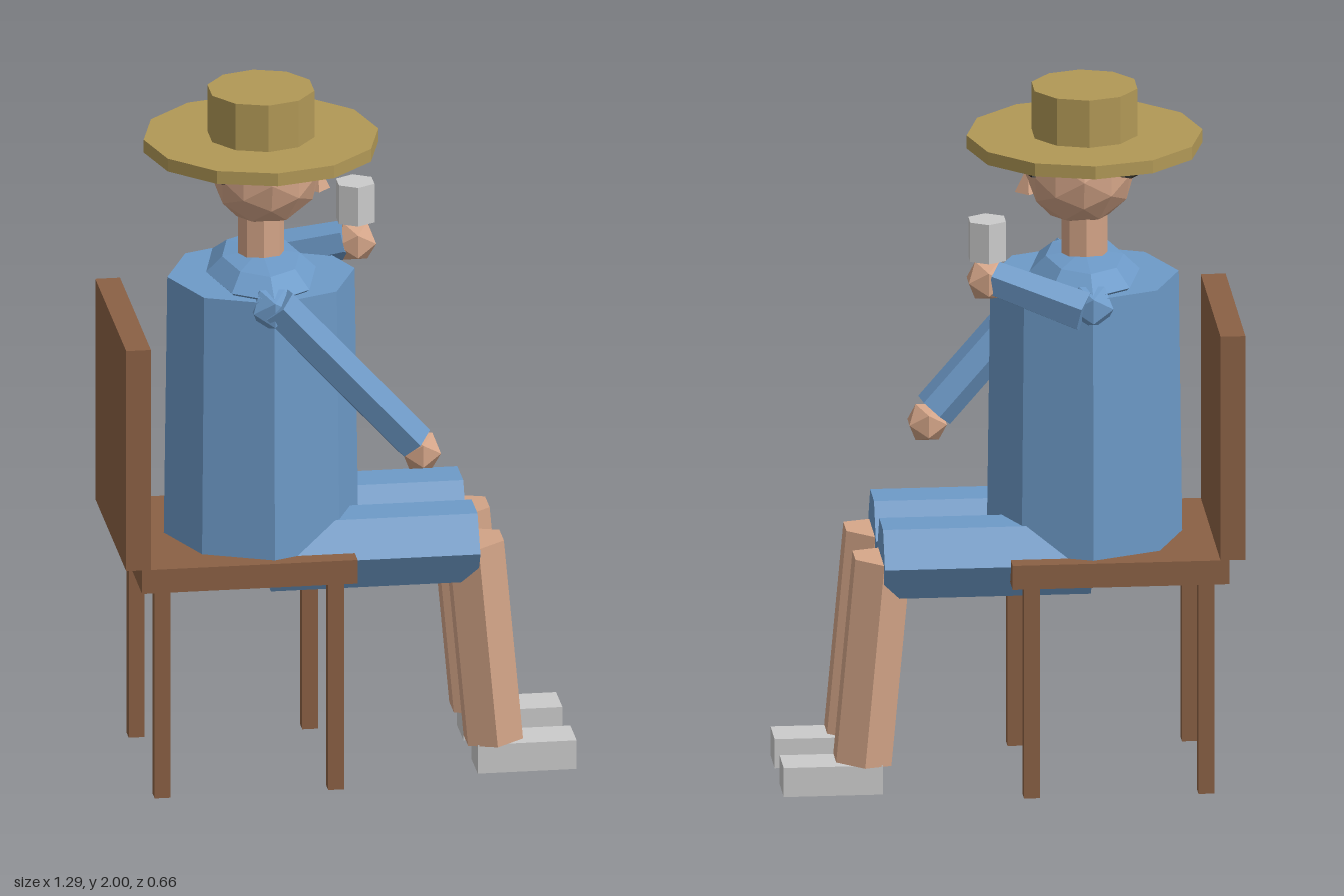
import * as THREE from 'three';

const paint = (name, color) => {
  const m = new THREE.MeshStandardMaterial({ color, flatShading: true });
  m.name = name;
  return m;
};

export function createModel() {
  const group = new THREE.Group();
  group.name = 'seatedFigure';

  const blue = paint('blue cloth', 0x6d9ac8);
  const skin = paint('skin', 0xd4a588);
  const wood = paint('brown wood', 0x8a6044);
  const straw = paint('straw', 0xb19856);
  const grey = paint('light grey', 0xcbcbcb);
  const hairBlack = paint('dark hair', 0x25231c);
  const eyeBlack = paint('eye black', 0x151515);

  const add = (name, geo, mat, x, y, z) => {
    const mesh = new THREE.Mesh(geo, mat);
    mesh.name = name;
    mesh.position.set(x, y, z);
    group.add(mesh);
    return mesh;
  };
  const box = (name, mat, w, h, d, x, y, z) =>
    add(name, new THREE.BoxGeometry(w, h, d), mat, x, y, z);
  const prism = (name, mat, rTop, rBottom, h, sides, x, y, z) =>
    add(name, new THREE.CylinderGeometry(rTop, rBottom, h, sides), mat, x, y, z);
  // Prism running between two points
  const limb = (name, mat, from, to, rFrom, rTo, sides = 6) => {
    const a = new THREE.Vector3(...from), b = new THREE.Vector3(...to);
    const dir = b.clone().sub(a);
    const mid = a.clone().add(b).multiplyScalar(0.5);
    const mesh = prism(name, mat, rTo, rFrom, dir.length(), sides, mid.x, mid.y, mid.z);
    mesh.quaternion.setFromUnitVectors(new THREE.Vector3(0, 1, 0), dir.normalize());
  };

  // Chair
  box('chairBack', wood, 0.07, 0.655, 0.608, -0.61, 1.0175, 0);
  box('chairSeat', wood, 0.61, 0.07, 0.608, -0.295, 0.655, 0);
  for (const x of [-0.538, -0.047])
    for (const z of [-0.255, 0.255])
      box('chairLeg', wood, 0.045, 0.62, 0.045, x, 0.31, z);

  // Torso, shoulders and neck
  prism('torso', blue, 0.265, 0.275, 0.76, 8, -0.22, 1.07, 0);
  add('shoulders', new THREE.SphereGeometry(1, 8, 4), blue, -0.22, 1.46, 0)
    .scale.set(0.155, 0.062, 0.27);
  prism('neck', skin, 0.065, 0.065, 0.16, 8, -0.22, 1.57, 0);

  // Head and face
  add('head', new THREE.IcosahedronGeometry(0.157, 1), skin, -0.207, 1.755, 0)
    .scale.set(1, 1, 0.9);
  prism('nose', skin, 0, 0.036, 0.075, 4, -0.06, 1.73, 0);
  for (const z of [-0.06, 0.06])
    prism('eye', eyeBlack, 0, 0.021, 0.036, 5, -0.077, 1.775, z);

  // Hair: tilted dome sitting under the hat
  hairBlack.side = THREE.DoubleSide;
  const hair = add('hair', new THREE.SphereGeometry(1, 8, 4, 0, Math.PI * 2, 0, Math.PI / 2),
    hairBlack, -0.23, 1.785, 0);
  hair.scale.set(0.165, 0.11, 0.145);
  hair.rotation.z = 0.27;

  // Hat
  prism('hatBrim', straw, 0.332, 0.332, 0.038, 12, -0.22, 1.843, 0);
  prism('hatCrown', straw, 0.152, 0.152, 0.16, 10, -0.22, 1.92, 0);

  // Resting arm
  limb('restingArm', blue, [-0.21, 1.44, 0.24], [0.185, 1.0, 0.2], 0.06, 0.06);
  add('restingHand', new THREE.IcosahedronGeometry(0.062, 0), skin, 0.205, 0.967, 0.195);

  // Raised arm holding a cup
  limb('raisedArm', blue, [-0.2, 1.41, -0.245], [0.045, 1.485, -0.145], 0.063, 0.055);
  add('raisedHand', new THREE.IcosahedronGeometry(0.064, 0), skin, 0.067, 1.48, -0.14);
  prism('cup', grey, 0.058, 0.058, 0.115, 6, 0.067, 1.6, -0.14);

  for (const z of [-0.14, 0.14]) {
    add('shoulderJoint', new THREE.IcosahedronGeometry(0.068, 0), blue,
      -0.22, 1.42, Math.sign(z) * 0.225);

    // Legs and shoes
    limb('thigh', blue, [-0.22, 0.672, z], [0.365, 0.672, z], 0.117, 0.117);
    limb('shin', skin, [0.364, 0.677, z], [0.418, 0.085, z], 0.09, 0.09);
    box('shoe', grey, 0.28, 0.085, 0.125, 0.505, 0.0425, z);
  }

  return group;
}
